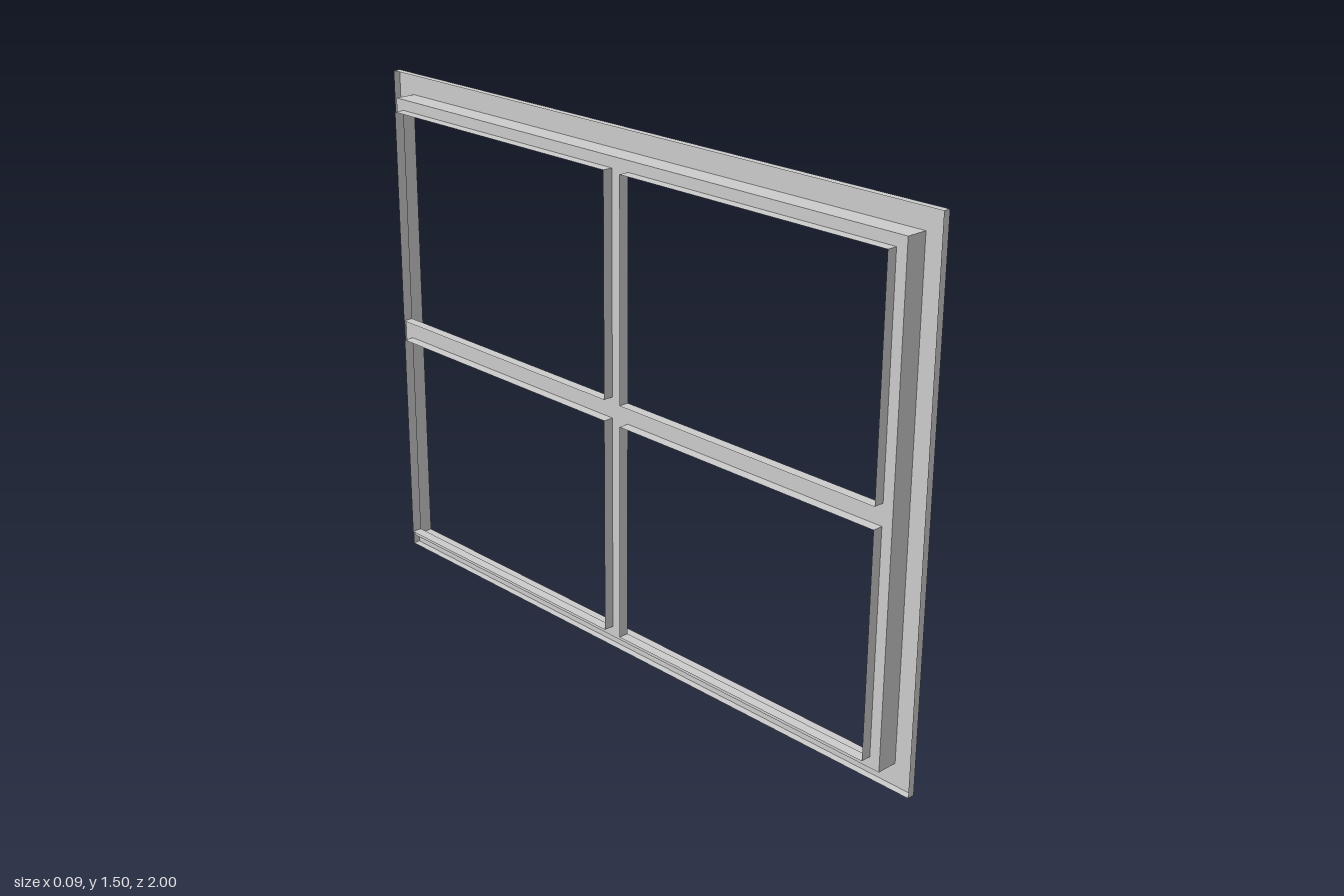
import * as THREE from 'three';

const W = 2, H = 1.5;                 // outer size along z and y
const STEP = 0.063, PANE = 0.094;     // insets of the step and of the panes
const BAR = 0.03;                     // half width of the glazing bars
const X_FRONT = 0.046, X_RIM = 0.025, X_LEDGE = -0.016, X_BACK = -0.046;

const material = new THREE.MeshStandardMaterial({ color: 0xcccccc, side: THREE.DoubleSide });

// Rectangle in the window plane: a = along z, b = height
const rect = (a0, a1, b0, b1) => ({ a0, a1, b0, b1 });
const inset = (d) => rect(-W / 2 + d, W / 2 - d, d, H - d);

function trace(path, { a0, a1, b0, b1 }) {
  path.moveTo(a0, b0);
  path.lineTo(a1, b0);
  path.lineTo(a1, b1);
  path.lineTo(a0, b1);
  path.closePath();
  return path;
}

// Flat sheet facing +x with rectangular openings
function sheet(name, outer, holes, x) {
  const shape = trace(new THREE.Shape(), outer);
  holes.forEach((h) => shape.holes.push(trace(new THREE.Path(), h)));
  const geometry = new THREE.ShapeGeometry(shape).rotateY(Math.PI / 2);
  const mesh = new THREE.Mesh(geometry, material);
  mesh.name = name;
  mesh.position.x = x;
  return mesh;
}

// Four thin walls around a rectangle, running from x0 to x1
function sleeve(name, { a0, a1, b0, b1 }, x0, x1) {
  const group = new THREE.Group();
  group.name = name;
  const depth = x1 - x0, x = (x0 + x1) / 2;
  const add = (geometry, part, y, z) => {
    const mesh = new THREE.Mesh(geometry, material);
    mesh.name = part;
    mesh.position.set(x, y, z);
    group.add(mesh);
  };
  const midA = -(a0 + a1) / 2, midB = (b0 + b1) / 2;
  for (const [part, y, turn] of [['bottomWall', b0, 1], ['topWall', b1, -1]])
    add(new THREE.PlaneGeometry(depth, a1 - a0).rotateX(-turn * Math.PI / 2), part, y, midA);
  for (const [part, a, turn] of [['leftWall', a0, Math.PI], ['rightWall', a1, 0]])
    add(new THREE.PlaneGeometry(depth, b1 - b0).rotateY(turn), part, midB, -a);
  return group;
}

export function createModel() {
  const model = new THREE.Group();
  model.name = 'windowFrame';

  const outer = inset(0), step = inset(STEP), inner = inset(PANE);

  // Four pane openings around the crossing bars
  const panes = [];
  for (const [a0, a1] of [[inner.a0, -BAR], [BAR, inner.a1]])
    for (const [b0, b1] of [[inner.b0, H / 2 - BAR], [H / 2 + BAR, inner.b1]])
      panes.push(rect(a0, a1, b0, b1));

  // Outer flange with its turned-back rim
  model.add(sheet('flange', outer, [step], X_FRONT));
  model.add(sleeve('flangeRim', outer, X_RIM, X_FRONT));

  // Recess wall down to the sash
  model.add(sleeve('recessWall', step, X_LEDGE, X_FRONT));

  // Sash face with glazing bars, open at the back
  model.add(sheet('sashAndGlazingBars', step, panes, X_LEDGE));
  panes.forEach((p, i) => model.add(sleeve(`paneReveal${i + 1}`, p, X_BACK, X_LEDGE)));

  return model;
}
